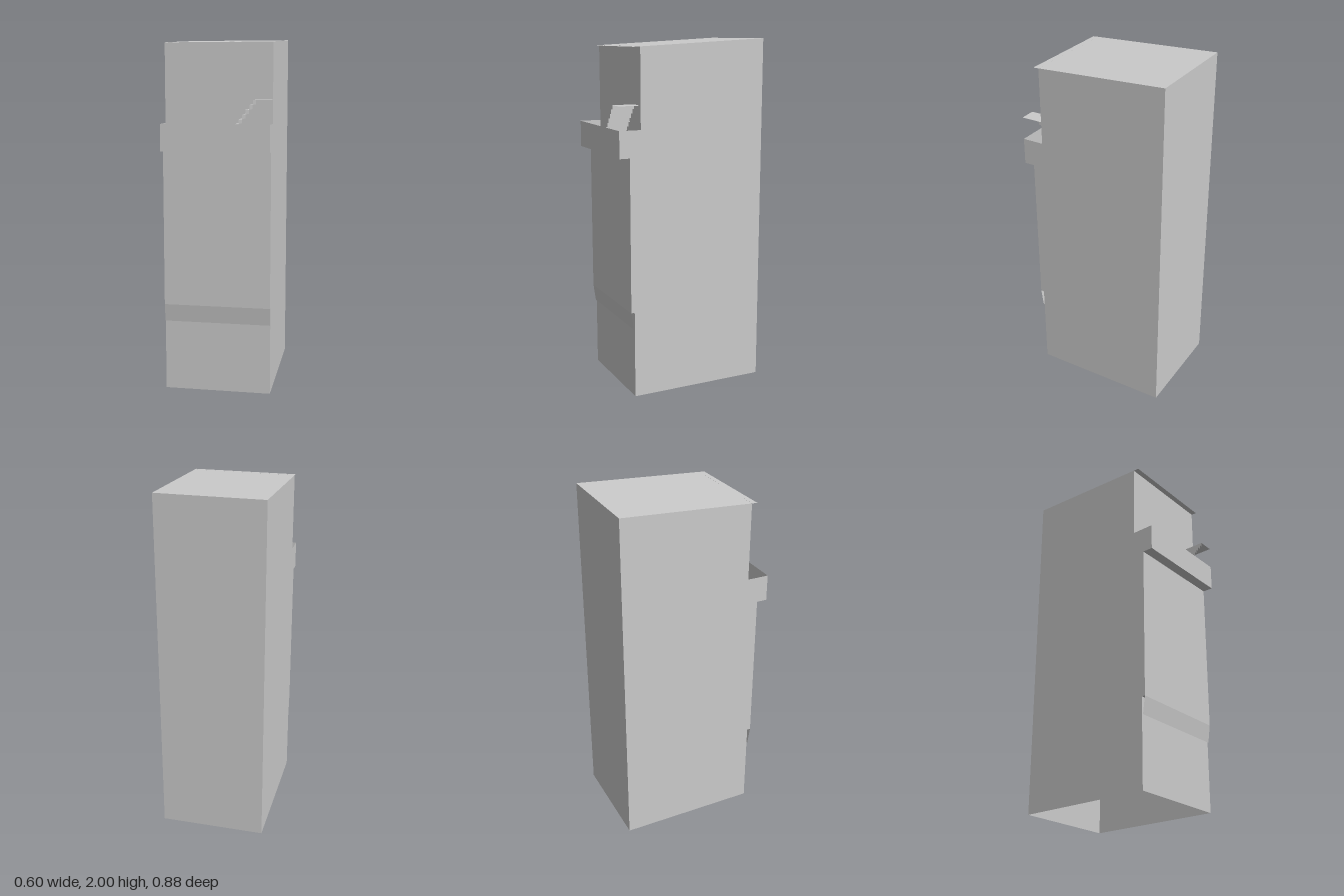
import * as THREE from 'three';

const HALF = 0.3;    // half width of the building
const BACK = -0.44;
const WALL = 0.315;  // set-back wall behind the balcony
const RAIL = 0.44;   // outer face of the balcony

const material = new THREE.MeshStandardMaterial({ color: 0xcccccc, side: THREE.DoubleSide });

function addMesh(group, name, geometry) {
  const mesh = new THREE.Mesh(geometry, material);
  mesh.name = name;
  group.add(mesh);
  return mesh;
}

// Thin folded sheet: a path of 3D points swept along an offset
function sweep(points, offset) {
  const pos = [];
  for (let i = 0; i < points.length - 1; i++) {
    const a = new THREE.Vector3(...points[i]);
    const b = new THREE.Vector3(...points[i + 1]);
    const a2 = a.clone().add(offset);
    const b2 = b.clone().add(offset);
    for (const v of [a, a2, b2, a, b2, b]) pos.push(v.x, v.y, v.z);
  }
  const geometry = new THREE.BufferGeometry();
  geometry.setAttribute('position', new THREE.Float32BufferAttribute(pos, 3));
  geometry.computeVertexNormals();
  return geometry;
}

// Sheet across the full width from a [z, y] profile
const acrossWidth = (profile) =>
  sweep(profile.map(([z, y]) => [-HALF, y, z]), new THREE.Vector3(2 * HALF, 0, 0));

export function createModel() {
  const group = new THREE.Group();
  group.name = 'towerHouse';

  // Lower front, overhanging upper front and balcony parapet
  const front = [[0.36, 0], [0.36, 0.5], [0.38, 0.5], [0.38, 1.37], [RAIL, 1.37], [RAIL, 1.52]];
  addMesh(group, 'frontWall', acrossWidth(front));
  addMesh(group, 'balconyFloor', acrossWidth([[0.38, 1.37], [WALL, 1.37]]));
  addMesh(group, 'upperWall', acrossWidth([[WALL, 1.37], [WALL, 1.959]]));
  addMesh(group, 'roof', acrossWidth([[0.348, 1.957], [BACK, 2]]));
  addMesh(group, 'backWall', acrossWidth([[BACK, 2], [BACK, 0]]));
  addMesh(group, 'awning', acrossWidth([[0.366, 0.4], [0.38, 0.5]]));

  // Side walls share the outline of the whole section
  const outline = [...front, [WALL, 1.52], [WALL, 1.959], [BACK, 2], [BACK, 0]];
  const shape = new THREE.Shape(outline.map(([z, y]) => new THREE.Vector2(-z, y)));
  for (const side of [1, -1]) {
    const geometry = new THREE.ShapeGeometry(shape);
    if (side < 0) geometry.scale(-1, 1, 1).index.array.reverse();
    geometry.computeVertexNormals();
    geometry.rotateY(side * Math.PI / 2);
    const wall = addMesh(group, side > 0 ? 'leftWall' : 'rightWall', geometry);
    wall.position.x = side * HALF;
  }

  // Balcony stairs rising to a small landing
  const risers = 11, rise = 0.28 / risers, run = 0.0194;
  const steps = [];
  for (let i = 0; i < risers; i++) {
    const x = 0.014 + i * run;
    steps.push([x, 1.37 + i * rise, WALL], [x, 1.37 + (i + 1) * rise, WALL]);
  }
  steps.push([HALF, 1.65, WALL]);
  addMesh(group, 'balconyStairs', sweep(steps, new THREE.Vector3(0, 0, RAIL - WALL)));

  return group;
}
